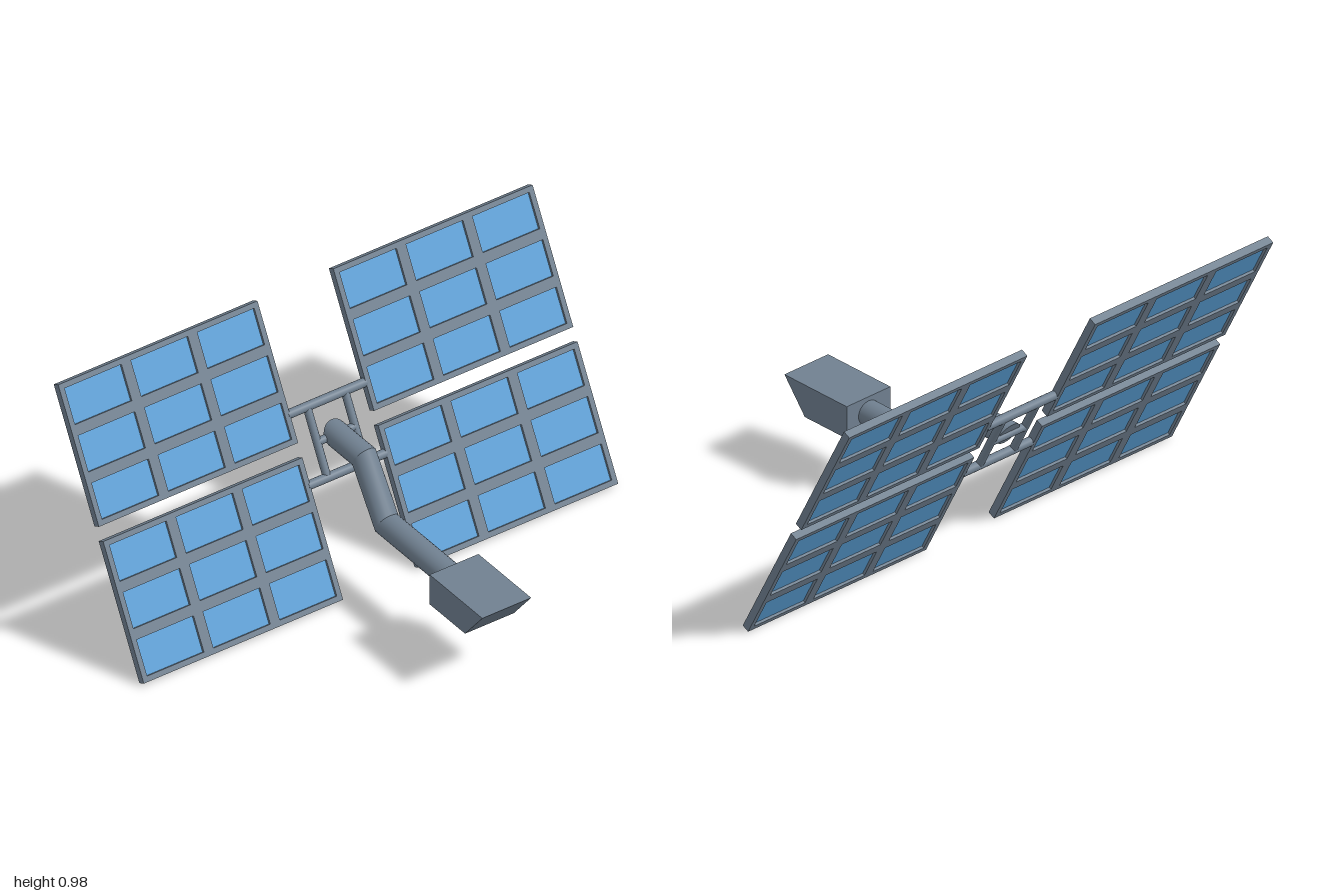
import * as THREE from 'three';
import { toCreasedNormals } from 'three/addons/utils/BufferGeometryUtils.js';

const metal = new THREE.MeshStandardMaterial({ color: 0x708090 });
const glass = new THREE.MeshStandardMaterial({ color: 0x5a9fd6 });

function add(parent, name, geometry, material = metal) {
  const mesh = new THREE.Mesh(geometry, material);
  mesh.name = name;
  parent.add(mesh);
  return mesh;
}

function rectangle(path, x, y, w, h) {
  path.moveTo(x, y);
  path.lineTo(x + w, y);
  path.lineTo(x + w, y + h);
  path.lineTo(x, y + h);
  path.closePath();
  return path;
}

// Frame with a 3 x 3 grid of openings, and recessed cells seen from both sides
function makePanel() {
  const W = 0.84, H = 0.52, T = 0.03, border = 0.02, gap = 0.04;
  const cw = (W - 2 * border - 2 * gap) / 3, ch = (H - 2 * border - 2 * gap) / 3;
  const panel = new THREE.Group();
  panel.name = 'solarPanel';
  const shape = rectangle(new THREE.Shape(), -W / 2, -H / 2, W, H);
  for (let i = 0; i < 3; i++) {
    for (let j = 0; j < 3; j++) {
      const x = -W / 2 + border + i * (cw + gap);
      const y = -H / 2 + border + j * (ch + gap);
      shape.holes.push(rectangle(new THREE.Path(), x, y, cw, ch));
      add(panel, 'solarCell', new THREE.BoxGeometry(cw, ch, 0.01), glass)
        .position.set(x + cw / 2, y + ch / 2, 0);
    }
  }
  const frame = new THREE.ExtrudeGeometry(shape, { depth: T, bevelEnabled: false });
  add(panel, 'panelFrame', frame.translate(0, 0, -T / 2));
  panel.rotation.y = Math.PI / 2;
  return panel;
}

// Straight pipe between two ends [centreX, centreY, rimX, rimY]; the rim vector sets the mitre
function pipe(a, b, halfWidth) {
  const geo = new THREE.CylinderGeometry(1, 1, 1, 20, 1);
  const p = geo.attributes.position;
  for (let i = 0; i < p.count; i++) {
    const [cx, cy, rx, ry] = p.getY(i) < 0 ? a : b;
    const s = p.getX(i);
    p.setXYZ(i, cx + s * rx, cy + s * ry, -p.getZ(i) * halfWidth);
  }
  return toCreasedNormals(geo, 0.6);
}

export function createModel() {
  const model = new THREE.Group();
  model.name = 'solarArray';

  // Tilted array: four panels joined by a ladder of rods
  const array = new THREE.Group();
  array.name = 'panelArray';
  array.position.set(-0.373, 0.493, 0);
  array.rotation.z = Math.atan2(0.507, 0.97);
  model.add(array);
  for (const side of [-1, 1]) {
    for (const level of [-1, 1]) {
      const panel = makePanel();
      panel.position.set(0, level * 0.287, side * 0.58);
      array.add(panel);
    }
    const crossRod = add(array, 'crossRod', new THREE.CylinderGeometry(0.017, 0.017, 0.33, 16));
    crossRod.rotation.x = Math.PI / 2;
    crossRod.position.y = side * 0.13;
    add(array, 'uprightRod', new THREE.CylinderGeometry(0.015, 0.015, 0.26, 16))
      .position.z = side * 0.08;
  }
  const middleRod = add(array, 'middleRod', new THREE.CylinderGeometry(0.015, 0.015, 0.16, 16));
  middleRod.rotation.x = Math.PI / 2;

  // Cranked arm with mitred joints
  const arm = new THREE.Group();
  arm.name = 'arm';
  model.add(arm);
  const ends = [
    [-0.375, 0.495, -0.024, 0.046],
    [-0.207, 0.495, 0.023, 0.046],
    [-0.073, 0.293, 0.023, 0.046],
    [0.335, 0.293, 0, 0.046],
  ];
  for (let i = 0; i < 3; i++) add(arm, 'armSection', pipe(ends[i], ends[i + 1], 0.048));

  // Mounting block with a slanted end
  const profile = new THREE.Shape();
  profile.moveTo(0.325, 0.229);
  profile.lineTo(0.535, 0.229);
  profile.lineTo(0.637, 0.355);
  profile.lineTo(0.325, 0.355);
  profile.closePath();
  const block = new THREE.ExtrudeGeometry(profile, { depth: 0.206, bevelEnabled: false });
  add(model, 'mountingBlock', block.translate(0, 0, -0.103));

  return model;
}
